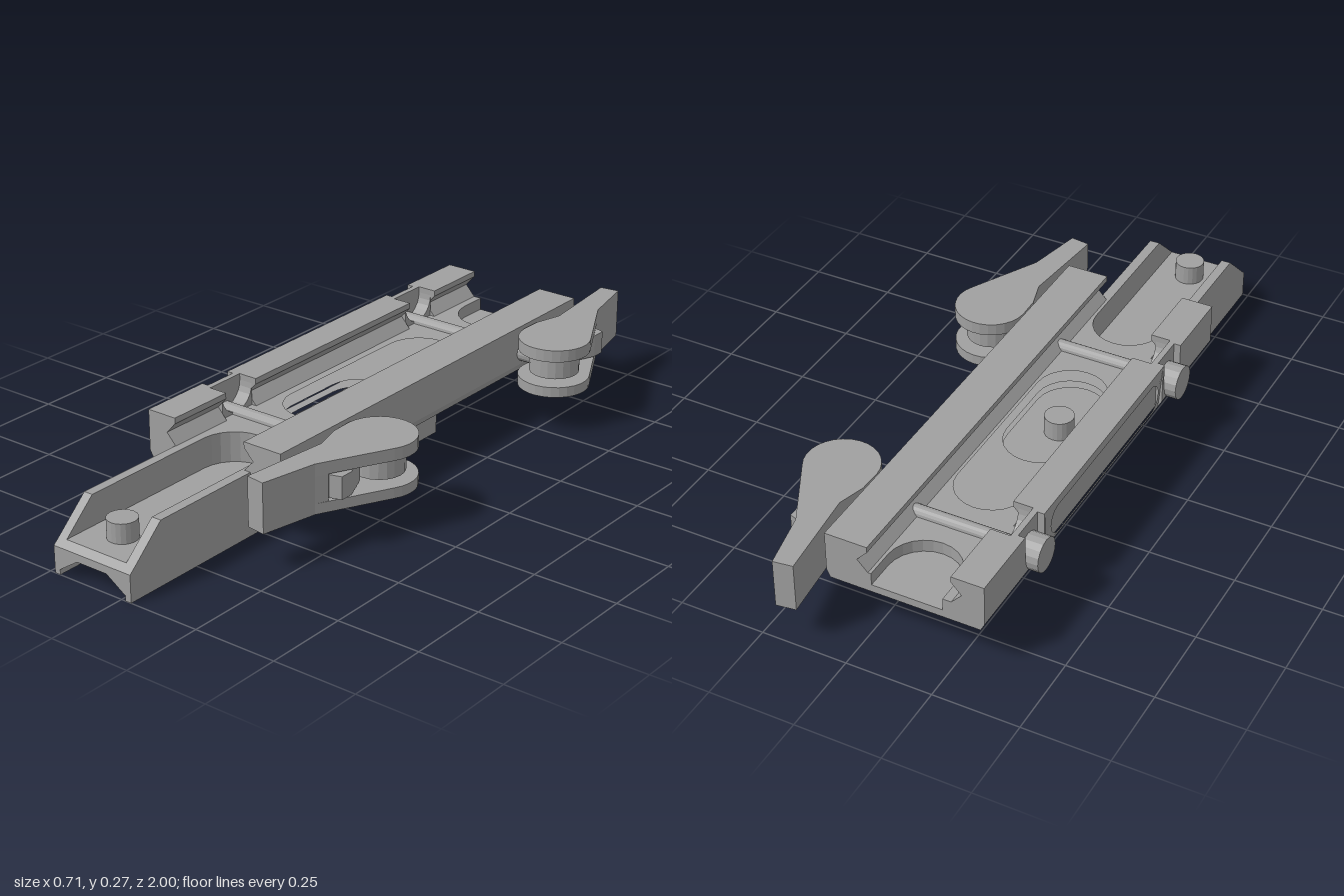
import * as THREE from 'three';

const MID = -0.1625;   // z about which clamp body is symmetrical
const CX = -0.101;     // x of the pocket centre line
const R = 0.104;       // pocket end radius
const metal = new THREE.MeshStandardMaterial({ color: 0xa0a0a0 });
metal.name = 'grey metal';

// Points on an arc, angles in degrees
function arc(cx, cy, r, a0, a1, n = 12) {
  return Array.from({ length: n + 1 }, (_, i) => {
    const a = THREE.MathUtils.degToRad(a0 + (a1 - a0) * i / n);
    return [cx + r * Math.cos(a), cy + r * Math.sin(a)];
  });
}

function extrude(points, holes, depth, sign) {
  const vec = list => list.map(([a, b]) => new THREE.Vector2(a * sign[0], b * sign[1]));
  const shape = new THREE.Shape(vec(points));
  for (const h of holes) shape.holes.push(new THREE.Path(vec(h)));
  return new THREE.ExtrudeGeometry(shape, { depth, bevelEnabled: false });
}
// Outline in [x, z], raised from y0 to y1
const plan = (pts, y0, y1, holes = []) =>
  extrude(pts, holes, y1 - y0, [1, -1]).rotateX(-Math.PI / 2).translate(0, y0, 0);
// Section in [x, y], swept from z0 to z1
const alongZ = (pts, z0, z1) => extrude(pts, [], z1 - z0, [1, 1]).translate(0, 0, z0);
// Section in [z, y], swept from x0 to x1
const alongX = (pts, x0, x1, holes = []) =>
  extrude(pts, holes, x1 - x0, [-1, 1]).rotateY(Math.PI / 2).translate(x0, 0, 0);

// Move vertices by a rule, then restore flat normals
function reshape(geo, rule) {
  const p = geo.attributes.position;
  const v = new THREE.Vector3();
  for (let i = 0; i < p.count; i++) {
    rule(v.fromBufferAttribute(p, i));
    p.setXYZ(i, v.x, v.y, v.z);
  }
  geo.computeVertexNormals();
  return geo;
}
function cylinder(r, h, sides = 20) {
  const g = new THREE.CylinderGeometry(r, r, h, sides).toNonIndexed();
  g.computeVertexNormals();
  return g;
}
function add(parent, name, geo) {
  const m = new THREE.Mesh(geo, metal);
  m.name = name;
  parent.add(m);
  return m;
}
const rect = (x0, x1, z0, z1) => [[x0, z0], [x1, z0], [x1, z1], [x0, z1]];
const stadium = (z0, z1) => [...arc(CX, z1 - R, R, 0, 180), ...arc(CX, z0 + R, R, 180, 360)];

function buildBase(group) {
  // Rail foot with undercut channel
  add(group, 'railFoot', alongZ([
    [-0.233, 0.08], [-0.233, 0], [-0.215, 0], [-0.215, 0.015], [-0.152, 0.057],
    [-0.05, 0.057], [0.014, 0.015], [0.014, 0], [0.033, 0], [0.033, 0.08]], -0.3, 1));
  add(group, 'railFloor', reshape(plan(rect(-0.233, 0.033, -0.3, 1), 0.08, 0.097), v => {
    if (v.z > 0.9 && v.y > 0.09) v.z = 0.98;
  }));
  add(group, 'railRearLayer', plan(rect(-0.233, 0.033, -0.3, 0.25), 0.097, 0.127, [stadium(-0.22, 0.175)]));
  // Front walls around the open pocket, sloped at the nose
  add(group, 'railFrontWalls', reshape(plan([
    [0.033, 0.25], [0.033, 0.98], [CX + R, 0.98], ...arc(CX, 0.34 + R, R, 0, -180),
    [CX - R, 0.98], [-0.233, 0.98], [-0.233, 0.25]], 0.097, 0.187), v => {
    if (v.z > 0.97 && v.y > 0.18) v.z = 0.88;
  }));
  for (const z of [0, 0.88]) add(group, 'railScrew', cylinder(0.043, 0.058).translate(CX, 0.126, z));
}

function buildBody(group) {
  const chamfer = v => {
    if (v.y > 0.128) return;
    if (v.x > 0.13) v.x -= 0.011;
    if (v.x < -0.32) v.x += 0.012;
  };
  const frontSlot = [[CX + R, 0.53], ...arc(CX, 0.34 + R, R, 0, -180), [CX - R, 0.53]];
  const rearSlot = [[CX - R, -0.855], ...arc(CX, -0.665 - R, R, 180, 0), [CX + R, -0.855]];
  const leftSide = [[-0.325, 0.53], [-0.325, 0.195], [-0.305, 0.195], [-0.305, -0.52], [-0.325, -0.52], [-0.325, -0.855]];
  // Thin floor, then deck with three pockets
  add(group, 'bodyFloor', reshape(plan(
    [[0.137, -0.855], [0.137, 0.53], ...frontSlot, ...leftSide], 0.127, 0.15, [stadium(-0.22, 0.175)]), chamfer));
  add(group, 'bodyDeck', plan(
    [[0.137, -0.855], [0.137, 0.53], ...frontSlot, ...leftSide, ...rearSlot], 0.15, 0.187, [stadium(-0.5, 0.175)]));

  // Dovetail side rails
  add(group, 'rightRail', alongZ([[0.137, 0.187], [0.137, 0.27], [0.012, 0.27], [0.012, 0.253], [0.043, 0.22], [0.012, 0.187]], -0.855, 0.53));
  for (const [z0, z1, outer] of [[-0.855, -0.645, -0.325], [-0.52, 0.195, -0.305], [0.32, 0.53, -0.325]])
    add(group, 'leftRail', alongZ([[outer, 0.187], [outer, 0.27], [-0.23, 0.27], [-0.23, 0.253], [-0.26, 0.22], [-0.23, 0.187]], z0, z1));

  // Outer skin of the left rail with a long rounded recess
  const r = 0.043;
  add(group, 'leftRecessPlate', reshape(alongX(
    [[-0.52, 0.127], [0.195, 0.127], [0.195, 0.27], [-0.52, 0.27]], -0.325, -0.305,
    [[...arc(0.165 - r, 0.2, r, -90, 90), ...arc(-0.49 + r, 0.2, r, 90, 270)]]), chamfer));
}

// Cross bolt, its rail notch and the cam lever, built for the front position
function buildClamp() {
  const g = new THREE.Group();
  const z = 0.2575;
  add(g, 'crossBolt', cylinder(0.021, 0.59, 16).rotateZ(Math.PI / 2).translate(-0.045, 0.187, z));
  add(g, 'boltCollar', cylinder(0.027, 0.12, 16).rotateZ(Math.PI / 2).translate(0.19, 0.187, z));
  add(g, 'boltHead', cylinder(0.05, 0.054, 16).rotateZ(Math.PI / 2).translate(-0.332, 0.187, z));
  // Wall left behind the notch, pocketed for the bolt head
  const w = 0.0625;
  add(g, 'notchWall', plan([
    [-0.325, -w], [-0.325, -0.053], [-0.305, -0.053], [-0.305, 0.053], [-0.325, 0.053],
    [-0.325, w], [-0.288, w], [-0.288, -w]], 0.187, 0.27).translate(0, 0, z));
  add(g, 'notchTrough', alongX([[-w, 0.18], [w, 0.18], ...arc(0, 0.252, w, 0, -180)], -0.288, -0.245).translate(0, 0, z));

  // Forked cam lever
  const lever = new THREE.Group();
  lever.name = 'camLever';
  g.add(lever);
  const outline = [
    [0.145, 0.255], [0.147, 0.32], [0.17, 0.4], [0.143, 0.67], [0.2, 0.678], [0.235, 0.51],
    ...arc(0.25, 0.255, 0.105, 31, -178, 16)];
  add(lever, 'leverLowerPlate', plan(outline, 0.117, 0.148));
  add(lever, 'leverUpperPlate', plan(outline, 0.227, 0.263));
  add(lever, 'leverHandleCore', plan([
    [0.16, 0.36], [0.17, 0.4], [0.143, 0.67], [0.2, 0.678], [0.235, 0.51], [0.252, 0.475],
    [0.21, 0.45], [0.2, 0.36]], 0.148, 0.227));
  add(lever, 'leverTab', plan([
    [0.195, 0.34], [0.25, 0.34], [0.285, 0.42], [0.285, 0.46], [0.25, 0.47], [0.205, 0.45]], 0.155, 0.222));
  add(lever, 'leverBarrel', cylinder(0.073, 0.056).translate(0.25, 0.188, 0.2575));
  add(lever, 'leverPin', cylinder(0.035, 0.09, 16).translate(0.25, 0.188, 0.2575));
  return g;
}

export function createModel() {
  const model = new THREE.Group();
  model.name = 'railMount';
  const base = new THREE.Group();
  base.name = 'lowerRail';
  buildBase(base);
  const body = new THREE.Group();
  body.name = 'clampBody';
  buildBody(body);
  const front = buildClamp();
  front.name = 'frontClamp';
  // Rear clamp mirrors the front one
  const rear = buildClamp();
  rear.name = 'rearClamp';
  rear.scale.z = -1;
  rear.position.z = 2 * MID;
  model.add(base, body, front, rear);
  return model;
}
